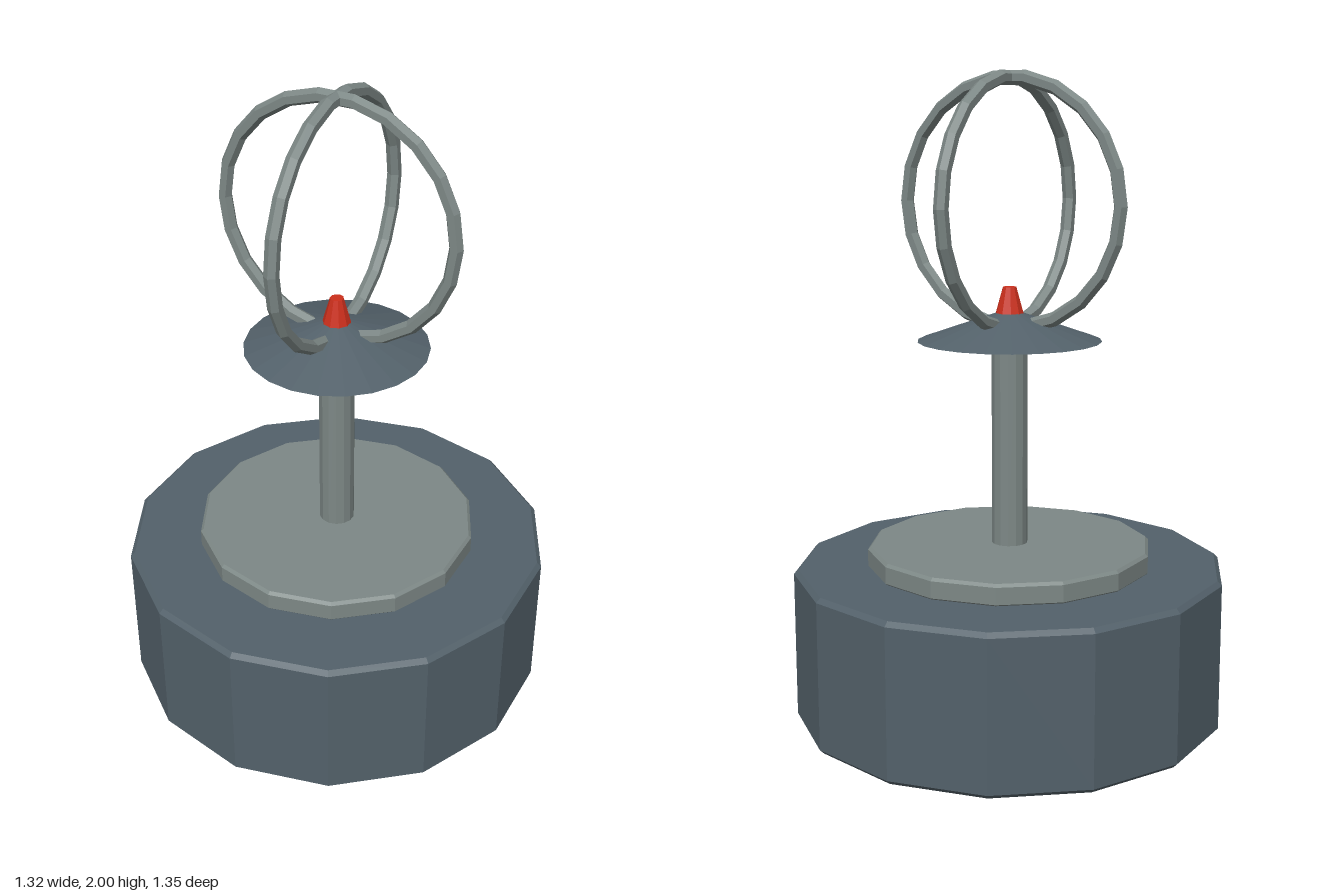
import * as THREE from 'three';

const slate = new THREE.MeshStandardMaterial({ color: 0x53616a });
slate.name = 'slate';
const metal = new THREE.MeshStandardMaterial({ color: 0x7d8886 });
metal.name = 'grey metal';
const red = new THREE.MeshStandardMaterial({ color: 0xcc2f1c });
red.name = 'red';

function add(group, name, geometry, material, y = 0) {
  const flat = geometry.index ? geometry.toNonIndexed() : geometry;
  flat.computeVertexNormals(); // faceted look
  const mesh = new THREE.Mesh(flat, material);
  mesh.name = name;
  mesh.position.y = y;
  group.add(mesh);
  return mesh;
}

// Closed drum with small bevels on both rims
function drum(radius, y0, y1, bevel, sides) {
  const profile = [
    [0, y0], [radius - bevel, y0], [radius, y0 + bevel],
    [radius, y1 - bevel], [radius - bevel, y1], [0, y1],
  ].map(([r, y]) => new THREE.Vector2(r, y));
  return new THREE.LatheGeometry(profile, sides);
}

export function createModel() {
  const model = new THREE.Group();
  model.name = 'ringAntenna';

  // Stepped base
  add(model, 'base', drum(0.675, 0, 0.485, 0.014, 14), slate);
  add(model, 'basePlate', drum(0.445, 0.48, 0.55, 0.009, 14), metal);

  // Mast and conical hood
  add(model, 'mast', new THREE.CylinderGeometry(0.056, 0.056, 0.67, 14), metal, 0.875);
  add(model, 'hood', new THREE.ConeGeometry(0.284, 0.1, 22), slate, 1.24);

  // Beacon tip
  add(model, 'beacon', new THREE.CylinderGeometry(0.021, 0.052, 0.11, 10), red, 1.3);

  // Two crossed upright hoops
  for (let i = 0; i < 2; i++) {
    const hoop = add(model, 'hoop', new THREE.TorusGeometry(0.375, 0.022, 6, 22), metal, 1.607);
    hoop.rotation.y = i * Math.PI / 2;
  }
  return model;
}
